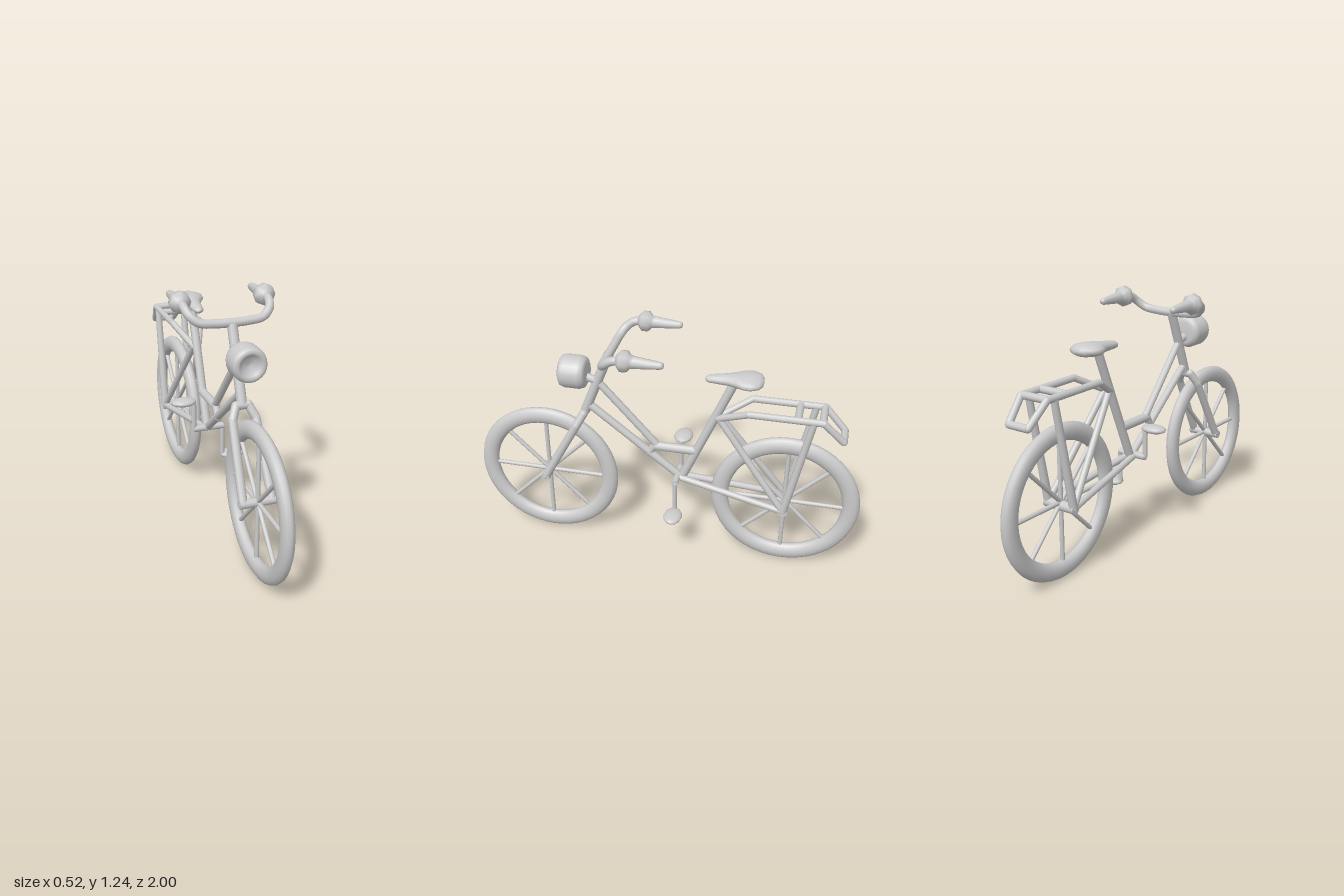
import * as THREE from 'three';

const mat = new THREE.MeshStandardMaterial({ color: 0xcccccc, side: THREE.DoubleSide });
const V = (p) => new THREE.Vector3(...p);

function add(parent, name, geometry, pos = [0, 0, 0]) {
  const mesh = new THREE.Mesh(geometry, mat);
  mesh.name = name;
  mesh.position.set(...pos);
  parent.add(mesh);
  return mesh;
}

// Straight round bar between two points
function rod(parent, name, a, b, r, r2 = r) {
  const dir = V(b).sub(V(a));
  const mesh = add(parent, name, new THREE.CylinderGeometry(r2, r, dir.length(), 10));
  mesh.position.copy(V(a)).addScaledVector(dir, 0.5);
  mesh.quaternion.setFromUnitVectors(new THREE.Vector3(0, 1, 0), dir.normalize());
  return mesh;
}

// Bars joined end to end with rounded joints
function barChain(parent, name, pts, r) {
  const g = new THREE.Group();
  g.name = name;
  pts.forEach((p, i) => {
    add(g, name + 'Joint', new THREE.SphereGeometry(r, 10, 8), p);
    if (i) rod(g, name + 'Bar', pts[i - 1], p, r);
  });
  parent.add(g);
}

// Lathe profile [radius, z] turned around the z axis
function latheZ(profile, sides) {
  const pts = profile.map(([r, z]) => new THREE.Vector2(r, z));
  return new THREE.LatheGeometry(pts, sides).rotateX(Math.PI / 2);
}

// Smooth body through elliptical sections [z, halfWidth, centreY, halfHeight]
function loft(sections, sides = 16) {
  const pos = [], idx = [];
  sections.forEach(([z, w, y, h], i) => {
    for (let j = 0; j < sides; j++) {
      const a = (j / sides) * Math.PI * 2;
      pos.push(Math.cos(a) * w, y + Math.sin(a) * h, z);
      if (i) {
        const k = (j + 1) % sides, p = (i - 1) * sides, q = i * sides;
        idx.push(p + j, p + k, q + k, p + j, q + k, q + j);
      }
    }
  });
  const g = new THREE.BufferGeometry();
  g.setAttribute('position', new THREE.Float32BufferAttribute(pos, 3));
  g.setIndex(idx);
  g.computeVertexNormals();
  return g;
}

function makeWheel(name, z) {
  const wheel = new THREE.Group();
  wheel.name = name;
  wheel.position.set(0, 0.384, z);
  const tire = add(wheel, 'tire', new THREE.TorusGeometry(0.331, 0.044, 12, 48).rotateY(Math.PI / 2));
  tire.scale.x = 0.7;
  for (let i = 0; i < 8; i++) {
    const a = (i * Math.PI) / 4;
    rod(wheel, 'spoke', [0, 0, 0], [0, Math.sin(a) * 0.3, Math.cos(a) * 0.3], 0.011);
  }
  return wheel;
}

export function createModel() {
  const bike = new THREE.Group();
  bike.name = 'bicycle';
  bike.add(makeWheel('frontWheel', 0.625), makeWheel('rearWheel', -0.62));

  // Axles
  rod(bike, 'frontAxle', [-0.088, 0.383, 0.622], [0.088, 0.383, 0.622], 0.022);
  rod(bike, 'rearAxle', [-0.088, 0.368, -0.62], [0.088, 0.368, -0.62], 0.025);

  // Main frame
  rod(bike, 'headTube', [0, 0.775, 0.409], [0, 1.115, 0.272], 0.024);
  barChain(bike, 'upperTube', [[0, 0.965, 0.345], [0, 0.63, 0.045], [0, 0.57, 0.08]], 0.019);
  rod(bike, 'downTube', [0, 0.825, 0.395], [0, 0.455, -0.075], 0.02);
  rod(bike, 'middleTube', [0, 0.617, 0.05], [0, 0.617, -0.16], 0.023);
  rod(bike, 'seatTube', [0, 0.455, -0.095], [0, 1.04, -0.34], 0.022);

  // Fork arch
  const forkPoint = (x, y) => [x, y, 0.395 + (0.8 - y) * 0.548];
  barChain(bike, 'fork', [
    forkPoint(-0.07, 0.383), forkPoint(-0.057, 0.715), forkPoint(-0.03, 0.772),
    forkPoint(0.03, 0.772), forkPoint(0.057, 0.715), forkPoint(0.07, 0.383)], 0.021);

  // Handlebar
  const half = [[0.08, 1.122, 0.267], [0.155, 1.132, 0.262], [0.195, 1.165, 0.237],
    [0.206, 1.192, 0.2], [0.207, 1.2, 0.14]];
  const barPts = [...half.map(([x, y, z]) => [-x, y, z]).reverse(), [0, 1.12, 0.268], ...half];
  add(bike, 'handlebar', new THREE.TubeGeometry(new THREE.CatmullRomCurve3(barPts.map(V)), 48, 0.021, 10));

  // Lamp with hollow front
  add(bike, 'headlamp', latheZ([[0, -0.068], [0.055, -0.068], [0.075, -0.058], [0.083, -0.035],
    [0.083, 0.04], [0.077, 0.06], [0.063, 0.068], [0.05, 0.06], [0.03, 0.045], [0, 0.04]], 24), [0, 0.995, 0.453]);
  rod(bike, 'lampBracket', [0, 0.975, 0.4], [0, 0.955, 0.33], 0.02);

  // Saddle
  add(bike, 'saddle', loft([[-0.475, 0, 1.05, 0], [-0.472, 0.035, 1.051, 0.017], [-0.455, 0.066, 1.053, 0.026],
    [-0.42, 0.084, 1.053, 0.031], [-0.385, 0.08, 1.052, 0.031], [-0.35, 0.058, 1.05, 0.03],
    [-0.31, 0.039, 1.047, 0.027], [-0.26, 0.031, 1.044, 0.023], [-0.215, 0.025, 1.041, 0.018],
    [-0.2, 0.014, 1.04, 0.011], [-0.195, 0, 1.04, 0]]));

  // Carrier cross bars
  for (const [x, y, z] of [[0.075, 0.912, -0.765], [0.075, 0.912, -0.65], [0.055, 0.81, -0.87]])
    rod(bike, 'rackCrossBar', [-x, y, z], [x, y, z], 0.018);

  // Bottom bracket axle
  rod(bike, 'crankAxle', [-0.08, 0.453, -0.07], [0.08, 0.453, -0.07], 0.017);

  for (const s of [1, -1]) {
    // Grip with rounded collar
    add(bike, 'grip', latheZ([[0, -0.185], [0.012, -0.183], [0.018, -0.17], [0.03, -0.05], [0.033, -0.032],
      [0.052, -0.015], [0.052, 0.012], [0.033, 0.028], [0.021, 0.036]], 8), [s * 0.207, 1.2, 0.142])
      .rotation.x = -0.02;

    // Rear stays
    rod(bike, 'chainStay', [s * 0.015, 0.45, -0.08], [s * 0.075, 0.368, -0.62], 0.017);
    rod(bike, 'seatStay', [s * 0.012, 0.84, -0.265], [s * 0.075, 0.368, -0.62], 0.017);

    // Carrier side rail and leg
    barChain(bike, 'rackRail', [[s * 0.012, 0.83, -0.265], [s * 0.074, 0.912, -0.42],
      [s * 0.074, 0.912, -0.77], [s * 0.055, 0.81, -0.87]], 0.017);
    rod(bike, 'rackLeg', [s * 0.074, 0.905, -0.725], [s * 0.075, 0.368, -0.62], 0.017, 0.021);

    // Crank and pedal, left one down
    const y = s > 0 ? 0.284 : 0.61;
    rod(bike, 'crank', [s * 0.077, 0.453, -0.07], [s * 0.077, y, -0.07], 0.012);
    add(bike, 'pedal', new THREE.SphereGeometry(1, 12, 8), [s * 0.131, y, -0.072]).scale.set(0.067, 0.02, 0.048);
  }
  return bike;
}
